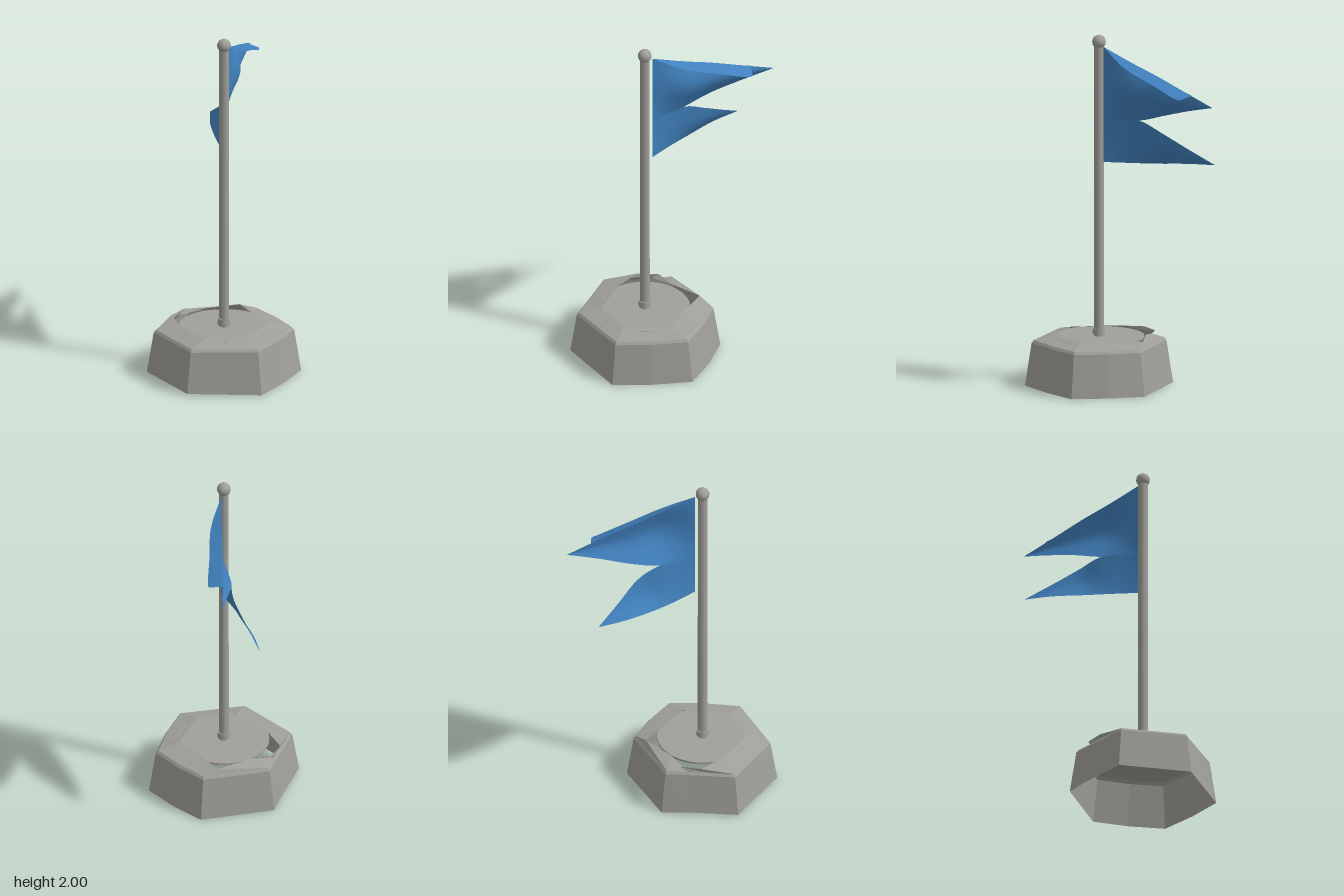
import * as THREE from 'three';

export function createModel() {
  const model = new THREE.Group();
  const stone = new THREE.MeshStandardMaterial({ color: 0xa09f9a, side: THREE.DoubleSide });
  stone.name = 'grey stone';
  stone.flatShading = true;
  const metal = new THREE.MeshStandardMaterial({ color: 0xa09f9a });
  metal.name = 'grey metal';
  const cloth = new THREE.MeshStandardMaterial({ color: 0x4080bc, side: THREE.DoubleSide });
  cloth.name = 'blue cloth';

  const PX = -0.03, PZ = 0.115; // pole axis

  const add = (name, geometry, material, x = 0, y = 0, z = 0, parent = model) => {
    const mesh = new THREE.Mesh(geometry, material);
    mesh.name = name;
    mesh.position.set(x, y, z);
    parent.add(mesh);
    return mesh;
  };

  // Grid of points (rows of equal length) to an indexed surface
  const gridGeometry = (rows) => {
    const n = rows[0].length, index = [];
    for (let r = 0; r < rows.length - 1; r++) {
      for (let c = 0; c < n - 1; c++) {
        const a = r * n + c, b = a + n;
        index.push(a, a + 1, b, b, a + 1, b + 1);
      }
    }
    const g = new THREE.BufferGeometry().setFromPoints(rows.flat());
    g.setIndex(index);
    g.computeVertexNormals();
    return g;
  };

  // Cloth surface: smooth curves along each edge row, then across the rows
  const clothGeometry = (rows, nu = 16, nv = 8) => {
    const curve = (pts) => new THREE.CatmullRomCurve3(pts);
    const edges = rows.map((row) => {
      const c = curve(row.map((p) => new THREE.Vector3(...p)));
      return Array.from({ length: nu + 1 }, (_, i) => c.getPoint(i / nu));
    });
    const grid = Array.from({ length: nv + 1 }, () => []);
    for (let i = 0; i <= nu; i++) {
      const c = curve(edges.map((e) => e[i]));
      for (let j = 0; j <= nv; j++) grid[j].push(c.getPoint(j / nv));
    }
    return gridGeometry(grid);
  };

  // Open, uneven hexagonal base; two extra points on the broken back-left edge
  const foot = [[-0.43, -0.05], [-0.37, 0.36], [0.01, 0.53], [0.2, 0.41], [0.375, 0.27], [0.357, 0.06],
    [0.31, -0.14], [-0.08, -0.3], [-0.19, -0.22], [-0.31, -0.135]];
  const mouth = [[-0.26, 0.02], [-0.225, 0.27], [-0.02, 0.36], [0.09, 0.29], [0.2, 0.22], [0.19, 0.045],
    [0.18, -0.13], [-0.02, -0.15], [-0.13, -0.2], [-0.235, -0.14]];
  const loop = (pts, y, scale = 1) => [...pts, pts[0]].map(([x, z]) =>
    new THREE.Vector3(PX + (x - PX) * scale, y, PZ + (z - PZ) * scale));
  add('baseShell', gridGeometry([
    loop(foot, 0.01).map((p, i) => p.setY(i % 10 > 1 && i % 10 < 8 ? 0 : 0.01)),
    loop(foot, 0.245, 0.91), loop(foot, 0.26, 0.88), loop(mouth, 0.287),
  ]), stone);
  add('baseDisc', new THREE.CylinderGeometry(0.255, 0.255, 0.012, 32), metal, PX, 0.273, PZ);

  // Pole, collar and finial
  add('collar', new THREE.CylinderGeometry(0.034, 0.036, 0.035, 16), metal, PX, 0.307, PZ);
  add('pole', new THREE.CylinderGeometry(0.027, 0.028, 1.68, 12), metal, PX, 1.11, PZ);
  add('finial', new THREE.SphereGeometry(0.039, 14, 10), metal, PX, 1.962, PZ);

  // Swallow-tailed flag
  const flag = new THREE.Group();
  flag.name = 'flag';
  model.add(flag);
  const split = [0.005, 1.52, 0.09], notch = [0.09, 1.535, -0.11];
  const upperTip = [0.43, 1.68, -0.52], lowerTip = [0.185, 1.3, -0.535];
  const topEdge = [[0.005, 1.94, 0.09], [0.11, 1.875, -0.06], [0.21, 1.815, -0.21], [0.32, 1.75, -0.36]];
  add('upperTail', clothGeometry([
    [...topEdge, upperTip],
    [[0.005, 1.73, 0.09], [0.14, 1.715, -0.04], [0.22, 1.7, -0.2], [0.325, 1.695, -0.36], upperTip],
    [split, notch, [0.175, 1.58, -0.245], [0.305, 1.635, -0.385], upperTip],
  ]), cloth, 0, 0, 0, flag);
  add('lowerTail', clothGeometry([
    [split, notch, [0.15, 1.48, -0.23], [0.168, 1.39, -0.38], lowerTip],
    [[0.005, 1.4, 0.09], [0.06, 1.41, -0.08], [0.125, 1.385, -0.22], [0.15, 1.345, -0.38], lowerTip],
    [[0.005, 1.28, 0.09], [0.03, 1.28, -0.06], [0.065, 1.283, -0.21], [0.115, 1.293, -0.38], lowerTip],
  ]), cloth, 0, 0, 0, flag);

  // Top hem folded over to the side, ending short of the tip
  const hem = [...topEdge, [0.348, 1.734, -0.405]];
  const overhang = [[0, 0, 0], [0.05, -0.025, 0.035], [0.062, -0.03, 0.04], [0.076, -0.035, 0.03], [0.05, -0.015, 0.06]];
  add('foldedHem', clothGeometry([
    hem, hem.map((p, i) => p.map((v, k) => v + overhang[i][k])),
  ], 16, 2), cloth, 0, 0, 0, flag);

  return model;
}
